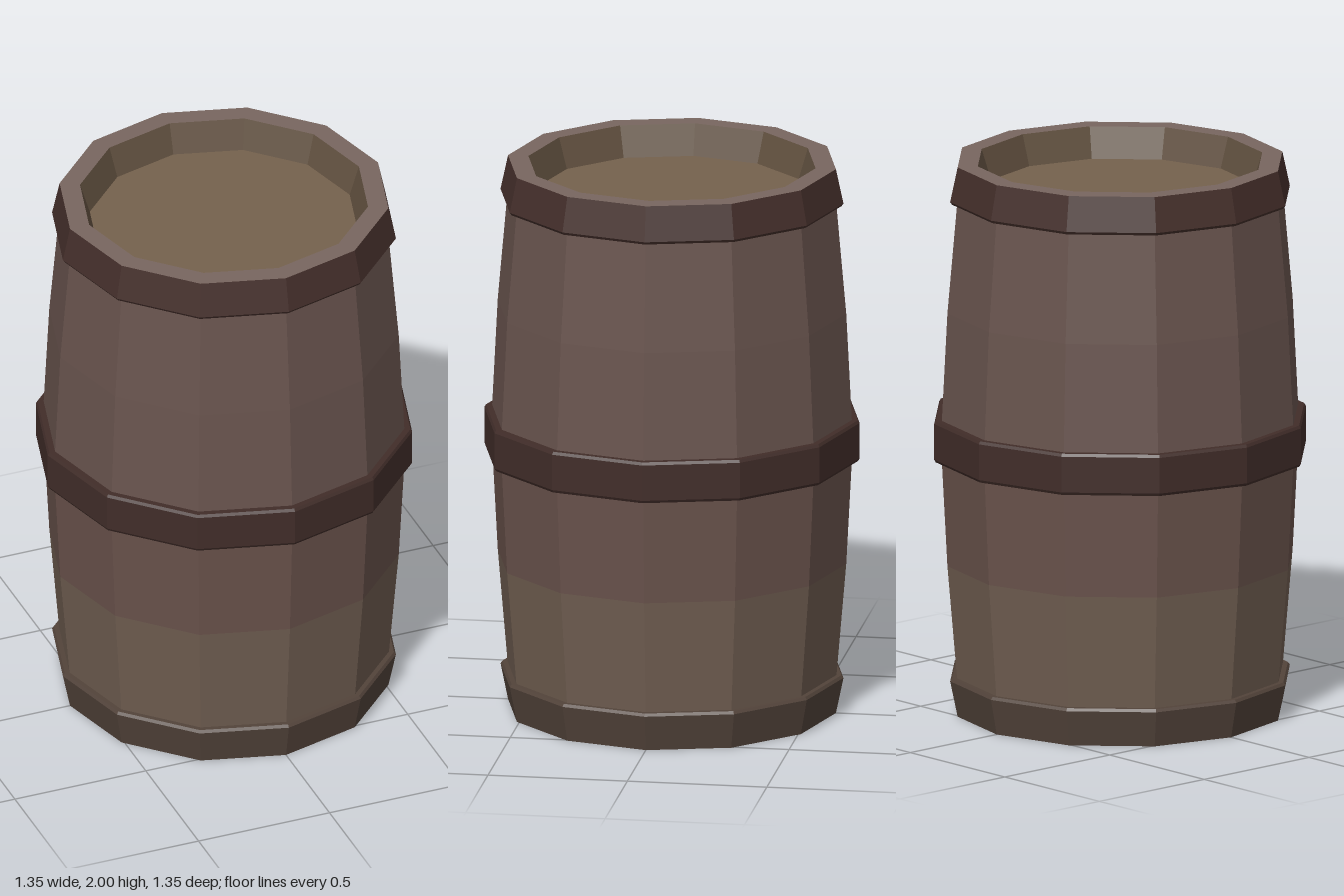
import * as THREE from 'three';

const SIDES = 12;

// Twelve-sided ring turned from [radius, height] points listed from bottom to top
function ring(name, color, profile) {
  const points = profile.map(([r, y]) => new THREE.Vector2(r, y));
  const material = new THREE.MeshStandardMaterial({ color, flatShading: true, side: THREE.DoubleSide });
  const mesh = new THREE.Mesh(new THREE.LatheGeometry(points, SIDES), material);
  mesh.name = name;
  return mesh;
}

export function createModel() {
  const barrel = new THREE.Group();
  barrel.name = 'barrel';

  // Bulging stave walls, open underneath
  barrel.add(
    ring('lowerStavesFoot', 0x6f5d50, [[0.59, 0.14], [0.625, 0.55]]),
    ring('lowerStaves', 0x69524b, [[0.625, 0.55], [0.645, 0.93]]),
    ring('upperStaves', 0x69544e, [[0.645, 1.08], [0.625, 1.47], [0.59, 1.865]])
  );

  // Hoops: thin shells that step out from the staves
  barrel.add(
    ring('bottomHoop', 0x52433a, [[0.588, 0], [0.615, 0.13], [0.608, 0.14], [0.59, 0.14]]),
    ring('middleHoop', 0x412d29, [
      [0.645, 0.93], [0.667, 0.93], [0.673, 0.94], [0.673, 1.07], [0.667, 1.08], [0.645, 1.08],
    ]),
    ring('topHoop', 0x452f2b, [[0.59, 1.865], [0.608, 1.865], [0.615, 1.875], [0.588, 2]])
  );

  // Flat rim, recessed inner wall and lid
  barrel.add(
    ring('topRim', 0x78665f, [[0.588, 2], [0.515, 2]]),
    ring('innerWall', 0x625140, [[0.48, 1.89], [0.515, 2]]),
    ring('lid', 0x75614d, [[0.48, 1.89], [0, 1.89]])
  );

  return barrel;
}
